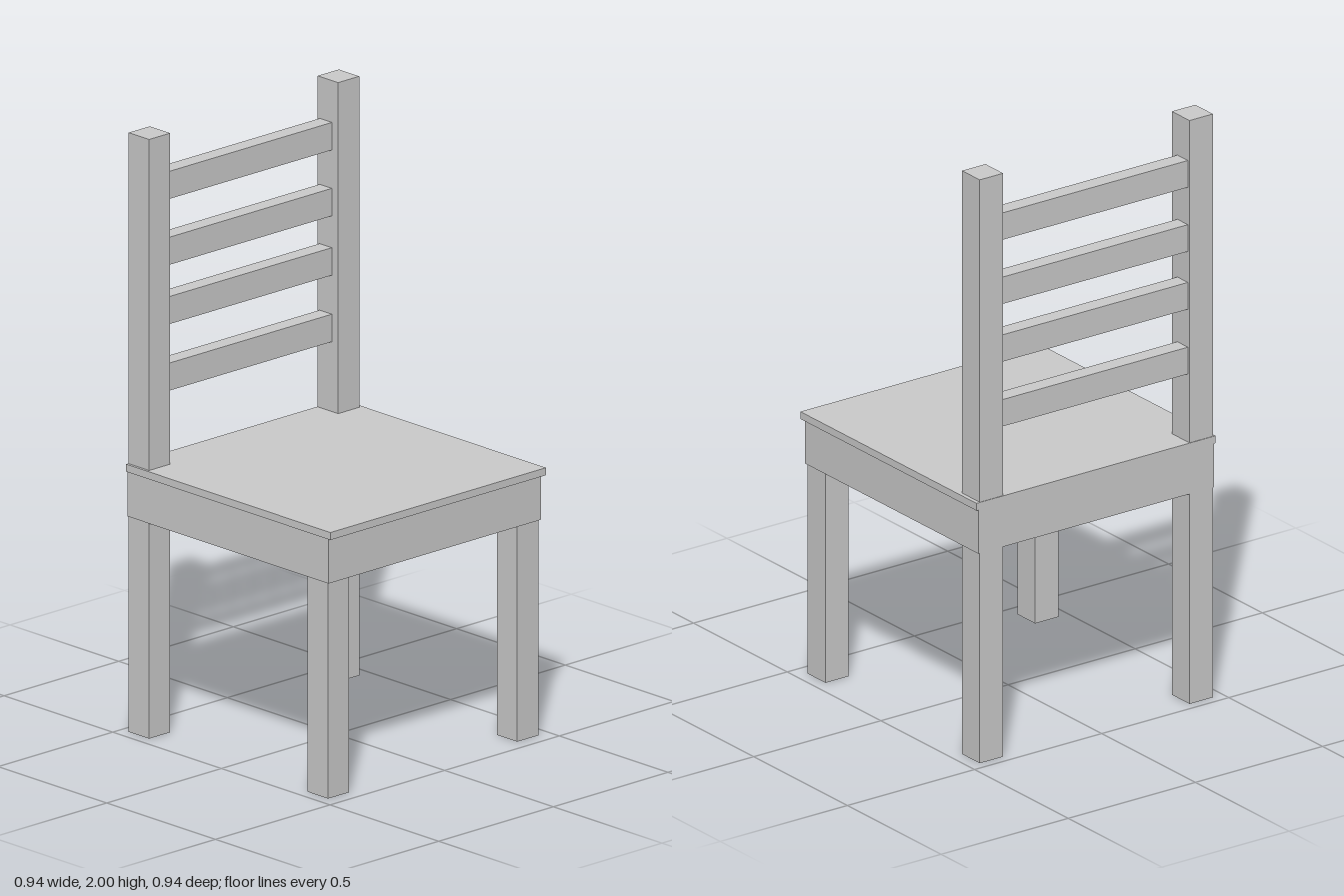
import * as THREE from 'three';

const material = new THREE.MeshStandardMaterial({ color: 0xcccccc, flatShading: true });

// Box given by its [min, max] extent along each axis
function addBox(parent, name, [x0, x1], [y0, y1], [z0, z1]) {
  const mesh = new THREE.Mesh(new THREE.BoxGeometry(x1 - x0, y1 - y0, z1 - z0), material);
  mesh.position.set((x0 + x1) / 2, (y0 + y1) / 2, (z0 + z1) / 2);
  mesh.name = name;
  parent.add(mesh);
}

export function createModel() {
  const chair = new THREE.Group();
  chair.name = 'chair';

  // Seat board on a solid apron block
  addBox(chair, 'seat', [-0.47, 0.47], [0.87, 0.895], [-0.47, 0.47]);
  addBox(chair, 'apron', [-0.465, 0.462], [0.72, 0.87], [-0.469, 0.456]);

  // Front legs, and back legs that run up as the backrest posts
  const sides = { right: [-0.461, -0.369], left: [0.364, 0.456] };
  for (const [side, x] of Object.entries(sides)) {
    addBox(chair, `${side}FrontLeg`, x, [0, 0.72], [0.356, 0.45]);
    addBox(chair, `${side}BackLeg`, x, [0, 0.72], [-0.468, -0.374]);
    addBox(chair, `${side}BackPost`, x, [0.895, 2], [-0.468, -0.374]);
  }

  // Backrest rails between the posts
  [1.128, 1.35, 1.548, 1.768].forEach((y, i) => {
    addBox(chair, `backRail${i + 1}`, [-0.369, 0.364], [y, y + 0.092], [-0.459, -0.403]);
  });

  return chair;
}
